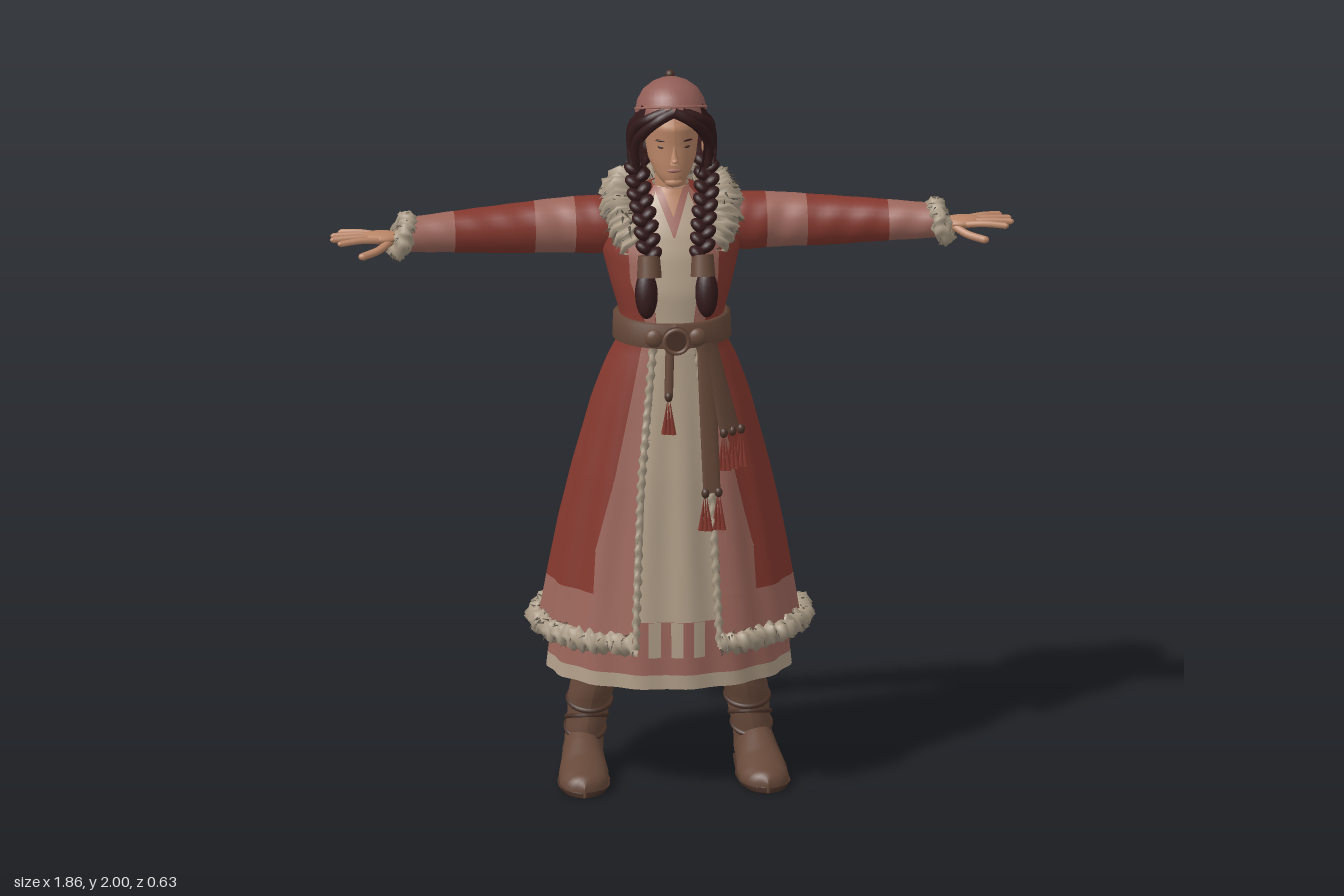
import * as THREE from 'three';
import { mergeGeometries } from 'three/addons/utils/BufferGeometryUtils.js';

const mat = (name, color) => new THREE.MeshStandardMaterial({ name, color, side: THREE.DoubleSide });
const V = (x, y, z) => new THREE.Vector3(x, y, z);
const lerp = THREE.MathUtils.lerp, PI = Math.PI;

// Linear lookup in rows whose first entry is the key
function look(rows, k) {
  let i = 0;
  while (i < rows.length - 2 && k > rows[i + 1][0]) i++;
  const [a, b] = [rows[i], rows[i + 1]];
  const t = THREE.MathUtils.clamp((k - a[0]) / (b[0] - a[0]), 0, 1);
  return a.map((n, j) => lerp(n, b[j], t));
}

// Grid surface from f(u, v) -> Vector3
function grid(f, nu, nv) {
  const g = new THREE.PlaneGeometry(1, 1, nu, nv), p = g.attributes.position;
  for (let j = 0, n = 0; j <= nv; j++)
    for (let i = 0; i <= nu; i++, n++) p.setXYZ(n, ...f(i / nu, j / nv).toArray());
  g.computeVertexNormals();
  return g;
}

// Body sections: height, half width, front z, back z
const COAT = [[0.44, 0.355, 0.288, -0.28], [0.6, 0.328, 0.268, -0.225], [0.75, 0.3, 0.252, -0.19],
  [0.9, 0.267, 0.237, -0.152], [1.1, 0.215, 0.212, -0.1], [1.2, 0.18, 0.2, -0.068], [1.27, 0.145, 0.192, -0.045],
  [1.34, 0.142, 0.188, -0.048], [1.42, 0.165, 0.188, -0.078], [1.52, 0.19, 0.168, -0.102],
  [1.58, 0.187, 0.145, -0.106], [1.63, 0.15, 0.115, -0.1], [1.67, 0.085, 0.09, -0.07], [1.69, 0.05, 0.08, -0.03]];
const DRESS = [[0.31, 0.33, 0.24, -0.25], [0.47, 0.313, 0.24, -0.225], [0.9, 0.24, 0.215, -0.13],
  [1.2, 0.16, 0.188, -0.05], [1.3, 0.13, 0.18, -0.03]];
const HEAD = [[1.712, 0.012, 0.14, 0.1], [1.722, 0.032, 0.15, 0.06], [1.745, 0.05, 0.154, 0.02], [1.78, 0.065, 0.154, -0.02],
  [1.83, 0.072, 0.152, -0.035], [1.88, 0.076, 0.155, -0.04], [1.93, 0.06, 0.13, -0.02]];
const OPEN = [[0.44, 0.115], [0.9, 0.095], [1.27, 0.06], [1.34, 0.052], [1.5, 0.07], [1.6, 0.08], [1.69, 0.04]];
const STRIPE = [[0.44, 0.23], [0.7, 0.215], [0.9, 0.165], [1.27, 0.09], [1.34, 0.08], [1.45, 0.12], [1.6, 0.125], [1.69, 0.045]];

function at(rows, a, y, off = 0) {
  const [, rx, zf, zb] = look(rows, y);
  const fold = rows === HEAD ? 0 : 0.005 * Math.sin(15 * a) * THREE.MathUtils.clamp((1.25 - y) / 0.5, 0, 1);
  const o = off + fold;
  return V((rx + o) * Math.sin(a), y, (zf + zb) / 2 + ((zf - zb) / 2 + o) * Math.cos(a));
}
const angle = (rows, x, y) => Math.asin(THREE.MathUtils.clamp(x / look(rows, y)[1], -1, 1));
const on = (rows, x, y, off) => at(rows, angle(rows, x, y), y, off);

export function createModel() {
  const root = new THREE.Group();
  const red = mat('coat red', 0x84382e), pink = mat('dusty pink', 0x9d675c), cream = mat('cream cloth', 0xb3a08a),
    fur = mat('fur', 0xa99a85), furDark = mat('dark fur', 0x5d5347), brown = mat('leather brown', 0x664839),
    dark = mat('dark leather', 0x4a3228), hair = mat('dark hair', 0x32191a), skin = mat('skin', 0xb98566), hatPink = mat('hat pink', 0x925e57);

  const add = (name, geo, m, parent = root) => {
    const mesh = new THREE.Mesh(geo, m);
    mesh.name = name;
    parent.add(mesh);
    return mesh;
  };
  // Part of a body surface between two angle rules and two heights
  const wrap = (name, m, rows, a0, a1, y0, y1, off = 0, nu = 48, nv = 24) =>
    add(name, grid((u, v) => {
      const y = lerp(y0, y1, v);
      return at(rows, lerp(a0(y), a1(y), u), y, off);
    }, nu, nv), m);
  const blob = (name, m, p, s, parent = root) => {
    const b = add(name, new THREE.SphereGeometry(1, 16, 12), m, parent);
    b.position.set(...p);
    b.scale.set(...s);
    return b;
  };
  const tube = (name, m, pts, r, parent = root, n = 24) =>
    add(name, new THREE.TubeGeometry(new THREE.CatmullRomCurve3(pts), n, r, 8), m, parent);

  let seed = 7;
  const rnd = () => (seed = (seed * 16807) % 2147483647) / 2147483647;
  // Shaggy roll of fur along a path, with darker tufts
  function furRoll(name, pts, r, closed, n, tufts, parent = root) {
    const path = new THREE.CatmullRomCurve3(pts, closed);
    const g = new THREE.TubeGeometry(path, n, r, 9, closed), p = g.attributes.position, q = g.attributes.normal;
    for (let i = 0; i < p.count; i++) {
      const [x, y, z] = [p.getX(i), p.getY(i), p.getZ(i)];
      const k = r * 0.2 * (Math.sin(x * 230 + y * 170) + Math.sin(z * 250 - y * 140));
      p.setXYZ(i, x + q.getX(i) * k, y + q.getY(i) * k, z + q.getZ(i) * k);
    }
    g.computeVertexNormals();
    add(name, g, fur, parent);
    const cones = [];
    for (let i = 0; i < tufts; i++) {
      const t = rnd(), c = path.getPointAt(t), tan = path.getTangentAt(t);
      const d = V(rnd() - 0.5, rnd() - 0.5, rnd() - 0.5).cross(tan).normalize();
      const dir = d.clone().add(V(0, -0.8, 0)).addScaledVector(tan, rnd() - 0.5).normalize();
      const cone = new THREE.ConeGeometry(r * 0.1, r * 0.75, 4, 1, true);
      cone.applyQuaternion(new THREE.Quaternion().setFromUnitVectors(V(0, 1, 0), dir));
      c.addScaledVector(d, r * 1.05);
      cones.push(cone.translate(c.x, c.y, c.z));
    }
    add(name + 'Tufts', mergeGeometries(cones), furDark, parent);
  }

  // Coat: back and sides, hem band, front stripes
  const open = y => angle(COAT, look(OPEN, y)[1], y), stripe = y => angle(COAT, look(STRIPE, y)[1], y);
  wrap('coatSkirt', red, COAT, stripe, y => 2 * PI - stripe(y), 0.58, 1.3, 0, 90);
  wrap('coatHemBand', pink, COAT, open, y => 2 * PI - open(y), 0.44, 0.58, 0, 90, 6);
  wrap('coatBodice', red, COAT, stripe, y => 2 * PI - stripe(y), 1.3, 1.69, 0, 60);
  for (const s of [1, -1])
    wrap('coatFrontStripe', pink, COAT, y => s * open(y), y => s * stripe(y), 0.58, 1.69, 0, 8, 50);
  wrap('backYoke', pink, COAT, y => PI - (y - 1.42) * 3.2, y => PI + (y - 1.42) * 3.2, 1.42, 1.66, 0.004, 12);

  // Dress: front panel, skirt bands, lining, chest and neckline
  const full0 = () => 0, full1 = () => 2 * PI;
  wrap('dressHem', cream, DRESS, full0, full1, 0.31, 0.35, 0, 90, 2);
  wrap('dressBand', pink, DRESS, full0, full1, 0.35, 0.5, 0, 90, 4);
  wrap('dressSkirt', cream, DRESS, () => -0.8, () => 0.8, 0.5, 1.3, 0, 40);
  wrap('dressLining', cream, DRESS, full0, full1, 0.312, 0.9, -0.007, 60, 8);
  for (const x of [-0.06, 0, 0.06])
    wrap('dressMotif', cream, DRESS, y => angle(DRESS, x - 0.016, y), y => angle(DRESS, x + 0.016, y), 0.4, 0.5, 0.003, 4, 2);
  wrap('chestPanel', cream, COAT, y => -open(y), open, 1.25, 1.69, -0.002, 12);
  const neck = (name, m, y0, k, w, off) => wrap(name, m, COAT, y => -angle(COAT, (y - y0) * k + w, y),
    y => angle(COAT, (y - y0) * k + w, y), y0, 1.69, off, 10, 12);
  neck('neckBorder', pink, 1.57, 0.38, 0.002, 0.003);
  neck('neckline', skin, 1.62, 0.38, 0, 0.006);

  // Fur trims
  const hem = [];
  for (let i = 0; i <= 60; i++) hem.push(at(COAT, lerp(open(0.45), 2 * PI - open(0.45), i / 60), 0.45, 0.002));
  furRoll('hemFur', hem, 0.028, false, 260, 420);
  for (const s of [1, -1]) {
    const edge = [];
    for (let i = 0; i <= 12; i++) {
      const y = lerp(0.44, 1.27, i / 12);
      edge.push(on(COAT, s * look(OPEN, y)[1], y, 0.002));
    }
    furRoll('openingFur', edge, 0.01, false, 120, 60);
  }
  const half = [[0.1, 1.55, 0.155], [0.135, 1.6, 0.115], [0.142, 1.645, 0.05], [0.128, 1.66, -0.03], [0.075, 1.662, -0.09]];
  const ring = [...half.map(p => V(...p)), V(0, 1.66, -0.108), ...half.slice().reverse().map(([x, y, z]) => V(-x, y, z))];
  furRoll('collarFur', ring, 0.043, false, 160, 260);

  // Belt, buckle and hanging sashes with tassels
  const beltEdge = [[0, 0, 1.27], [1, 0.017, 1.272], [2, 0.017, 1.336], [3, 0, 1.338]];
  add('belt', grid((u, v) => {
    const [, off, y] = look(beltEdge, v * 3);
    return at(COAT, u * 2 * PI, y, off);
  }, 60, 3), brown);
  const buckle = add('buckle', new THREE.CylinderGeometry(0.034, 0.038, 0.02, 20), dark);
  buckle.position.set(0, 1.297, 0.212);
  buckle.rotation.x = PI / 2;
  add('buckleRim', new THREE.TorusGeometry(0.033, 0.006, 8, 24), brown).position.set(0, 1.297, 0.222);
  for (const x of [-0.058, 0.058]) blob('beltKnot', brown, [x, 1.3, 0.196], [0.026, 0.026, 0.016]);
  function sash(x0, x1, y0, y1, w, tassels) {
    add('sash', grid((u, v) => {
      const y = lerp(y0, y1, v), a = u * 2 * PI;
      const p = on(COAT, lerp(x0, x1, v) + w / 2 * Math.cos(a), y, 0.014);
      return V(p.x, y, p.z + 0.007 * Math.sin(a));
    }, 14, 16), brown);
    for (const dx of tassels) {
      const p = on(COAT, x1 + dx, y1, 0.016);
      blob('tasselKnot', dark, [p.x, y1, p.z], [0.011, 0.014, 0.011]);
      const threads = [-1, 0, 1].map(k => new THREE.ConeGeometry(0.008, 0.1, 6).rotateZ(k * 0.1).translate(k * 0.008, -0.055, 0.003 * k));
      add('tassel', mergeGeometries(threads), red).position.set(p.x, y1, p.z + 0.004);
    }
  }
  sash(0.075, 0.09, 1.28, 0.87, 0.045, [-0.017, 0.017]);
  sash(0.075, 0.14, 1.28, 1.03, 0.055, [-0.02, 0.005, 0.028]);
  sash(-0.015, -0.02, 1.28, 1.14, 0.022, [0]);

  // Head, neck and face
  add('neck', new THREE.CylinderGeometry(0.04, 0.047, 0.16, 20), skin).position.set(0, 1.69, 0.035);
  wrap('head', skin, HEAD, full0, full1, 1.712, 1.93, 0, 36, 26);
  blob('chin', skin, [0, 1.727, 0.135], [0.026, 0.016, 0.02]);
  const nose = add('nose', new THREE.ConeGeometry(0.014, 0.055, 8), skin);
  nose.position.set(0, 1.81, 0.157);
  nose.rotation.x = -0.2;
  blob('noseTip', skin, [0, 1.793, 0.164], [0.01, 0.008, 0.011]);
  blob('lips', pink, [0, 1.763, 0.152], [0.02, 0.006, 0.006]);

  // Hair around the head
  wrap('backHair', hair, HEAD, () => 1.0, () => 2 * PI - 1.0, 1.745, 1.93, 0.027, 40, 16);
  blob('nape', hair, [0, 1.775, -0.02], [0.085, 0.05, 0.05]);

  // Hat, tilted back
  const hat = new THREE.Group();
  hat.name = 'hat';
  hat.position.set(0, 1.878, 0.05);
  hat.rotation.x = -0.33;
  hat.scale.x = 0.9;
  root.add(hat);
  const dome = [[0.1, 0], [0.108, 0.002], [0.108, 0.025], [0.101, 0.055], [0.082, 0.084], [0.05, 0.105], [0.02, 0.114], [0, 0.116]];
  add('hatDome', new THREE.LatheGeometry(dome.map(p => new THREE.Vector2(...p)), 36), hatPink, hat);
  const band = add('hatBand', new THREE.TorusGeometry(0.107, 0.004, 6, 36), pink, hat);
  band.rotation.x = PI / 2;
  band.position.y = 0.03;
  blob('hatKnob', dark, [0, 0.12, 0], [0.014, 0.013, 0.013], hat);

  // Sleeve sections: x, centre y, centre z, half height, half depth
  const ARM = [[0.13, 1.565, 0, 0.07, 0.075], [0.2, 1.567, 0.002, 0.08, 0.078], [0.3, 1.568, 0.004, 0.075, 0.068],
    [0.43, 1.565, 0.014, 0.068, 0.066], [0.55, 1.567, 0.03, 0.059, 0.06], [0.73, 1.568, 0.055, 0.046, 0.05]];
  const FOOT = [[-0.106, 0, 0.05], [-0.1, 0.03, 0.08], [-0.08, 0.048, 0.12], [-0.02, 0.055, 0.14], [0.04, 0.06, 0.115],
    [0.1, 0.068, 0.085], [0.16, 0.066, 0.066], [0.2, 0.048, 0.055], [0.218, 0.02, 0.04], [0.222, 0, 0.03]];
  const SHAFT = [[0.04, 0.232, -0.035, 0.052, 0.066], [0.12, 0.226, -0.038, 0.053, 0.06], [0.18, 0.218, -0.038, 0.057, 0.06],
    [0.3, 0.196, -0.036, 0.066, 0.074], [0.5, 0.17, -0.03, 0.075, 0.08]];

  for (const s of [1, -1]) {
    const side = new THREE.Group();
    side.name = s > 0 ? 'leftSide' : 'rightSide';
    side.scale.x = s;
    root.add(side);

    // Eye, brow and ear
    blob('eye', dark, [0.031, 1.826, 0.139], [0.014, 0.005, 0.004], side).rotation.y = 0.4;
    blob('brow', hair, [0.033, 1.845, 0.14], [0.019, 0.003, 0.004], side).rotation.y = 0.4;
    blob('ear', skin, [0.094, 1.8, 0.05], [0.012, 0.026, 0.016], side);

    // Parted fringe and side locks
    const lock = (...p) => tube('hairLock', hair, p.map(q => V(...q)), 0.015, side);
    lock([0, 1.925, 0.14], [0.04, 1.905, 0.145], [0.075, 1.87, 0.125], [0.098, 1.82, 0.09], [0.1, 1.74, 0.075]);
    lock([0.02, 1.925, 0.135], [0.065, 1.905, 0.13], [0.1, 1.87, 0.095], [0.108, 1.8, 0.07], [0.098, 1.72, 0.08]);
    lock([0.08, 1.9, 0.09], [0.105, 1.86, 0.05], [0.105, 1.79, 0.04], [0.097, 1.72, 0.07]);
    tube('looseStrand', hair, [V(0.1, 1.87, 0.06), V(0.118, 1.82, 0.07), V(0.11, 1.76, 0.09)], 0.004, side);

    // Braid with binding and tail
    const braid = new THREE.CatmullRomCurve3([V(0.095, 1.76, 0.06), V(0.092, 1.69, 0.1), V(0.08, 1.62, 0.155), V(0.072, 1.54, 0.192)]);
    for (let i = 0; i < 15; i++) {
      const p = braid.getPointAt(i / 14), k = i % 2 ? 1 : -1;
      blob('braidPlait', hair, [p.x + k * 0.012, p.y, p.z], [0.026, 0.017, 0.026], side).rotation.z = k * 0.6;
    }
    const tie = add('braidTie', new THREE.CylinderGeometry(0.03, 0.034, 0.06, 14), brown, side);
    tie.position.set(0.073, 1.508, 0.203);
    tie.rotation.x = -0.25;
    blob('braidTail', hair, [0.082, 1.435, 0.22], [0.031, 0.068, 0.026], side).rotation.x = -0.2;

    // Sleeve in alternating colours
    [[0.13, 0.26, red], [0.26, 0.37, pink], [0.37, 0.59, red], [0.59, 0.73, pink]].forEach(([x0, x1, m]) =>
      add('sleeve', grid((u, v) => {
        const x = lerp(x0, x1, v), [, cy, cz, ry, rz] = look(ARM, x), a = u * 2 * PI;
        const k = 1 + 0.025 * Math.sin(x * 70 + 2 * a) * Math.sin(a);
        return V(x, cy + ry * k * Math.cos(a), cz + rz * k * Math.sin(a));
      }, 24, 12), m, side));
    const cuff = [];
    for (let i = 0; i < 12; i++) {
      const a = i / 12 * 2 * PI;
      cuff.push(V(0.733 - 0.012 * Math.cos(a), 1.567 + 0.042 * Math.cos(a), 0.057 + 0.047 * Math.sin(a)));
    }
    furRoll('cuffFur', cuff, 0.024, true, 60, 90, side);

    // Hand with spread fingers
    blob('palm', skin, [0.79, 1.566, 0.062], [0.058, 0.017, 0.036], side);
    [[0.092, 0.905, 0.115], [0.074, 0.922, 0.078], [0.054, 0.918, 0.045], [0.036, 0.895, 0.014]].forEach(([z, x, z1]) =>
      blob('fingerTip', skin, [x, 1.567, z1], [0.008, 0.007, 0.007], side) &&
      tube('finger', skin, [V(0.8, 1.566, z), V(0.85, 1.57, lerp(z, z1, 0.5)), V(x, 1.567, z1)], 0.009, side, 8));
    tube('thumb', skin, [V(0.765, 1.56, 0.08), V(0.8, 1.545, 0.112), V(0.845, 1.535, 0.133)], 0.011, side, 8);
    blob('thumbTip', skin, [0.845, 1.535, 0.133], [0.013, 0.01, 0.01], side);

    // Boot: shaft, foot, sole and straps
    add('bootShaft', grid((u, v) => {
      const y = lerp(0.04, 0.5, v), [, cx, cz, rx, rz] = look(SHAFT, y), a = u * 2 * PI;
      const k = 1 + 0.03 * Math.sin(y * 60 + a);
      return V(cx + rx * k * Math.sin(a), y, cz + rz * k * Math.cos(a));
    }, 24, 24), brown, side);
    const foot = (name, m, grow, top) => add(name, grid((u, v) => {
      const z = lerp(-0.106, 0.222, v), [, w, h] = look(FOOT, z), a = u * 2 * PI;
      const y = Math.max(0, h * (0.35 + 0.65 * Math.sin(a)));
      return V(0.236 + 0.06 * z + (w + grow) * Math.cos(a), Math.min(y, top), z);
    }, 28, 40), m, side);
    foot('bootFoot', brown, 0, 1);
    foot('bootSole', dark, 0.004, 0.016);
    [[0.12, 0.3], [0.15, -0.35], [0.2, 0.25]].forEach(([y, tilt]) => {
      const [, cx, cz, rx, rz] = look(SHAFT, y), strap = add('bootStrap', new THREE.TorusGeometry(1, 0.1, 6, 28), dark, side);
      strap.position.set(cx, y, cz);
      strap.rotation.set(PI / 2 + tilt, 0, 0);
      strap.scale.set(rx + 0.001, rz + 0.003, 0.07);
    });
  }
  return root;
}
